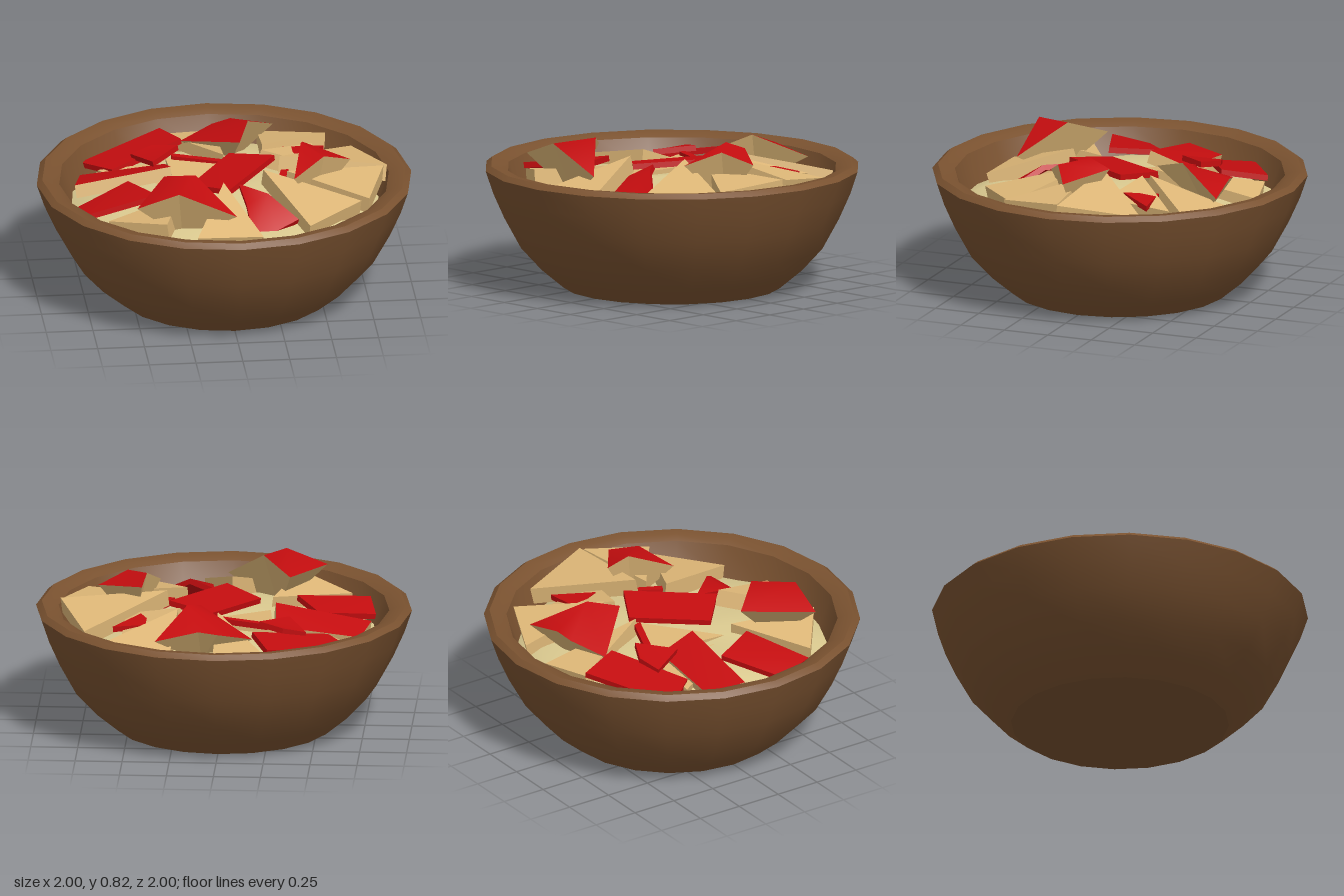
import * as THREE from 'three';
import { toCreasedNormals } from 'three/addons/utils/BufferGeometryUtils.js';

const mat = (color) => new THREE.MeshStandardMaterial({ color });
const wood = mat(0x7a5230), tan = mat(0xdfb878), red = mat(0xc40d0f), filling = mat(0xdac98f);

function mesh(name, geometry, material) {
  const m = new THREE.Mesh(geometry, material);
  m.name = name;
  return m;
}

const lathe = (profile) =>
  new THREE.LatheGeometry(profile.map(([r, y]) => new THREE.Vector2(r, y)), 20);

// Geometry from a list of triangles of [x, y, z] corners
function facets(triangles) {
  const g = new THREE.BufferGeometry();
  g.setAttribute('position', new THREE.Float32BufferAttribute(triangles.flat(2), 3));
  g.computeVertexNormals();
  return g;
}

// Upward normal of an outline, with the outline turned to face up
function faceUp(outline) {
  const normal = new THREE.Vector3();
  outline.forEach(([x, y, z], i) => {
    const [u, v, w] = outline[(i + 1) % outline.length];
    normal.add(new THREE.Vector3((y - v) * (z + w), (z - w) * (x + u), (x - u) * (y + v)));
  });
  if (normal.y > 0) return { pts: outline, normal: normal.normalize() };
  return {
    pts: [outline[0], ...outline.slice(1).reverse()],
    normal: normal.negate().normalize(),
  };
}

const fan = (pts) => pts.slice(1, -1).map((p, i) => [pts[0], p, pts[i + 2]]);

function pieceGroup(name, top, body, topMaterial, bodyMaterial) {
  const group = new THREE.Group();
  group.name = name;
  group.add(mesh(name + 'Top', toCreasedNormals(facets(top), 0.95), topMaterial));
  group.add(mesh(name + 'Body', facets(body), bodyMaterial));
  return group;
}

// Tilted slab, thickened at right angles to its face
function slab(name, outline, topMaterial, bodyMaterial, thickness) {
  const { pts, normal } = faceUp(outline);
  const n = normal.toArray();
  const low = pts.map((p) => p.map((v, k) => v - thickness * n[k]));
  const body = fan(low).map(([a, b, c]) => [a, c, b]);
  pts.forEach((p, i) => {
    const j = (i + 1) % pts.length;
    body.push([p, low[i], low[j]], [p, low[j], pts[j]]);
  });
  return pieceGroup(name, fan(pts), body, topMaterial, bodyMaterial);
}

// Humped chip: fanned from its crest, with the underside drawn to a low point
function humpedChip(name, outline) {
  const { pts } = faceUp(outline);
  const mean = (k) => pts.reduce((sum, p) => sum + p[k], 0) / pts.length;
  const low = [mean(0), 0.5, mean(2)];
  const body = pts.map((p, i) => [p, low, pts[(i + 1) % pts.length]]);
  return pieceGroup(name, fan(pts), body, red, tan);
}

// Plain triangular chips, mostly with the tip raised
const chips = [
  [[0.60, 0.62, -0.61], [0.25, 0.58, -0.77], [0.23, 0.71, -0.27]],
  [[0.72, 0.62, -0.42], [0.87, 0.68, 0], [0.30, 0.74, -0.03]],
  [[0.85, 0.68, 0.01], [0.74, 0.64, 0.36], [0.33, 0.69, 0.06]],
  [[0.70, 0.62, 0.34], [0.40, 0.60, 0.61], [0.20, 0.72, 0.10]],
  [[-0.03, 0.73, 0.28], [0.14, 0.59, 0.71], [-0.21, 0.59, 0.70]],
  [[-0.25, 0.64, 0.21], [-0.37, 0.66, 0.66], [-0.66, 0.60, 0.44]],
  [[-0.25, 0.60, -0.73], [0.02, 0.58, -0.80], [0.02, 0.68, -0.22]],
  [[-0.28, 0.63, -0.32], [0.05, 0.64, -0.20], [-0.24, 0.58, 0.17]],
  [[0.52, 0.61, -0.50], [0.51, 0.64, -0.13], [0.22, 0.70, -0.22]],
  [[-0.64, 0.57, -0.34], [-0.33, 0.60, -0.33], [-0.28, 0.57, 0.20]],
];

// Humped chips with a red top, starting at the crest
const humpedChips = [
  [[0.17, 0.78, -0.43], [0.33, 0.65, -0.69], [0.10, 0.70, -0.67], [0, 0.68, -0.65],
    [-0.18, 0.63, -0.55], [0.11, 0.73, -0.26]],
  [[0.52, 0.80, 0.14], [0.67, 0.74, 0.05], [0.43, 0.78, -0.12], [0.41, 0.825, 0],
    [0.35, 0.72, 0.25]],
  [[-0.30, 0.80, 0.59], [0.01, 0.66, 0.59], [-0.19, 0.82, 0.38], [-0.34, 0.75, 0.21],
    [-0.52, 0.72, 0.57]],
];

// Chip with a flat red top
const toppedChip = [[-0.74, 0.57, -0.28], [-0.29, 0.62, -0.27], [-0.28, 0.69, -0.06], [-0.79, 0.60, -0.07]];

// Red slices and strips
const slices = [
  [[-0.72, 0.56, -0.48], [-0.27, 0.63, -0.74], [-0.18, 0.66, -0.51], [-0.57, 0.59, -0.29]],
  [[-0.51, 0.63, -0.03], [-0.38, 0.65, 0.22], [-0.76, 0.61, 0.36], [-0.80, 0.57, 0.16]],
  [[0.05, 0.68, -0.24], [0.28, 0.71, -0.12], [0, 0.69, 0.29], [-0.19, 0.66, 0.12]],
  [[-0.21, 0.68, -0.38], [-0.36, 0.66, -0.21], [-0.46, 0.63, -0.40], [-0.34, 0.66, -0.44]],
  [[0.35, 0.65, -0.37], [0.57, 0.64, -0.39], [0.43, 0.66, -0.20]],
  [[0.20, 0.69, 0.36], [0.35, 0.59, 0.49], [0.22, 0.55, 0.55], [0.10, 0.53, 0.60],
    [0.08, 0.65, 0.40], [0.06, 0.685, 0.20]],
  [[0.26, 0.65, 0.15], [0.31, 0.67, -0.03], [0.35, 0.67, -0.03], [0.30, 0.65, 0.16]],
  [[-0.25, 0.65, -0.34], [0.02, 0.65, -0.23], [0.02, 0.65, -0.19], [-0.25, 0.65, -0.30]],
];

export function createModel() {
  const model = new THREE.Group();
  model.name = 'filledBowl';

  // Bowl: outer wall, stepped rim and inner wall
  const bowl = lathe([
    [0, 0], [0.58, 0], [0.70, 0.10], [0.81, 0.22], [0.90, 0.385], [0.96, 0.52], [1, 0.64],
    [0.97, 0.665], [0.92, 0.66], [0.88, 0.64], [0.82, 0.48], [0.72, 0.30], [0.54, 0.10], [0, 0.08],
  ]);
  model.add(mesh('bowl', toCreasedNormals(bowl, 0.42), wood));

  // Filling: a low, lumpy mound
  const mound = lathe([
    [0.825, 0.48], [0.72, 0.53], [0.58, 0.56], [0.40, 0.58], [0.20, 0.59], [0, 0.60],
  ]);
  const p = mound.attributes.position;
  for (let i = 0; i < p.count; i++) {
    const x = p.getX(i), z = p.getZ(i);
    p.setY(i, p.getY(i) + 0.02 * Math.sin(9 * x) * Math.cos(8 * z));
  }
  mound.computeVertexNormals();
  model.add(mesh('filling', mound, filling));

  // Pieces lying on the filling
  chips.forEach((c, i) => model.add(slab('chip' + (i + 1), c, tan, tan, 0.09)));
  humpedChips.forEach((c, i) => model.add(humpedChip('humpedChip' + (i + 1), c)));
  model.add(slab('toppedChip', toppedChip, red, tan, 0.07));
  slices.forEach((s, i) => model.add(slab('redSlice' + (i + 1), s, red, red, 0.03)));

  return model;
}
